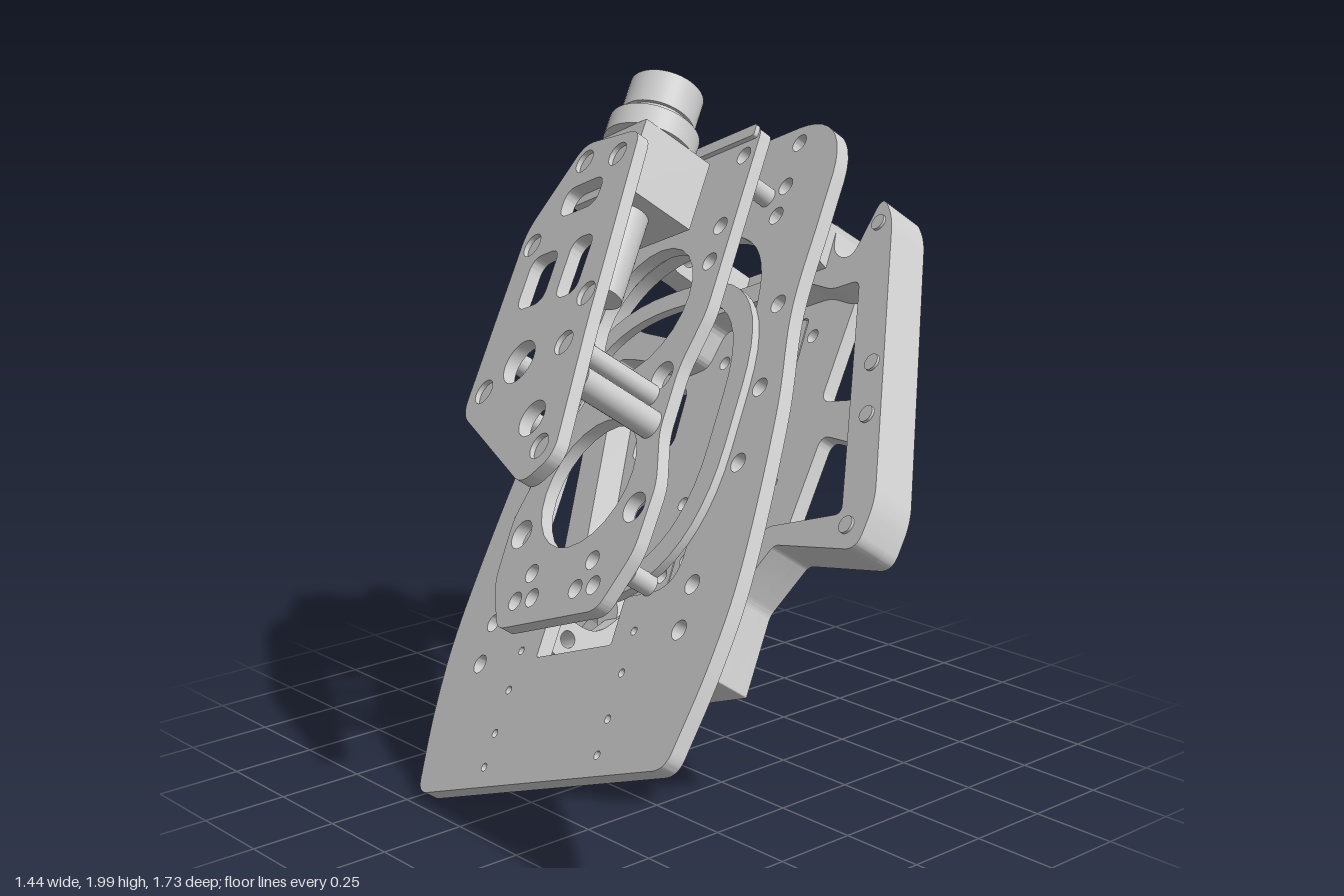
import * as THREE from 'three';
import { toCreasedNormals } from 'three/addons/utils/BufferGeometryUtils.js';

const material = new THREE.MeshStandardMaterial({ color: 0xcccccc });

function addMesh(parent, name, geometry) {
  const mesh = new THREE.Mesh(toCreasedNormals(geometry, 0.5), material);
  mesh.name = name;
  parent.add(mesh);
  return mesh;
}

// Polygon with rounded corners; a point may carry its own radius as third value
function roundPoly(points, radius = 0.03) {
  const shape = new THREE.Shape();
  const n = points.length;
  points.forEach((p, i) => {
    const c = new THREE.Vector2(p[0], p[1]);
    const a = new THREE.Vector2(...points[(i + n - 1) % n].slice(0, 2)).sub(c);
    const b = new THREE.Vector2(...points[(i + 1) % n].slice(0, 2)).sub(c);
    const r = Math.min(p[2] ?? radius, a.length() * 0.48, b.length() * 0.48);
    a.setLength(r).add(c);
    b.setLength(r).add(c);
    if (i === 0) shape.moveTo(a.x, a.y); else shape.lineTo(a.x, a.y);
    shape.quadraticCurveTo(c.x, c.y, b.x, b.y);
  });
  shape.closePath();
  return shape;
}

const rect = (x0, x1, y0, y1, r) => roundPoly([[x0, y0], [x1, y0], [x1, y1], [x0, y1]], r);

function drill(shape, centres, r) {
  for (const [x, y] of centres) shape.holes.push(new THREE.Path().absarc(x, y, r, 0, Math.PI * 2, true));
}

const mirrored = (list) => list.flatMap(([x, y]) => [[x, y], [-x, y]]);

// Flat plate between two heights
function slab(parent, name, shape, w0, w1) {
  const geo = new THREE.ExtrudeGeometry(shape, { depth: w1 - w0, bevelEnabled: false, curveSegments: 12 });
  return addMesh(parent, name, geo.translate(0, 0, w0));
}

// Round post standing on the plates
function post(parent, name, x, y, w0, w1, r) {
  const geo = new THREE.CylinderGeometry(r, r, w1 - w0, 24).rotateX(Math.PI / 2);
  return addMesh(parent, name, geo.translate(x, y, (w0 + w1) / 2));
}

function basePlate(g) {
  // Right half of the waisted outline, then its mirror image
  const half = new THREE.Shape();
  half.moveTo(0.51, 0);
  half.quadraticCurveTo(0.56, 0, 0.57, 0.05);
  half.splineThru([[0.62, 0.28], [0.64, 0.55], [0.605, 1.0], [0.545, 1.33], [0.55, 1.62], [0.555, 1.78]]
    .map(([x, y]) => new THREE.Vector2(x, y)));
  half.bezierCurveTo(0.555, 1.92, 0.47, 2.01, 0.33, 2.01);
  const side = half.getPoints(10);
  const shape = new THREE.Shape([...side, ...side.slice().reverse().map((p) => new THREE.Vector2(-p.x, p.y))]);
  // Large opening with a slot at its lower end
  shape.holes.push(roundPoly([[-0.38, 1.7], [-0.38, 0.52, 0.3], [-0.17, 0.52, 0.01], [-0.17, 0.38, 0.01],
    [0.17, 0.38, 0.01], [0.17, 0.52, 0.01], [0.38, 0.52, 0.3], [0.38, 1.7]], 0.36));
  drill(shape, mirrored([[0.118, 1.95], [0.355, 1.95], [0.345, 1.7], [0.35, 1.8], [0.475, 1.37],
    [0.5, 1.1], [0.5, 0.87], [0.453, 0.52], [0.453, 0.39]]), 0.028);
  drill(shape, mirrored([[0.257, 0.06], [0.257, 0.16], [0.257, 0.29], [0.257, 0.41]]), 0.012);
  slab(g, 'basePlate', shape, 0, 0.045);

  // Raised rim around the lower part of the opening
  const rim = rect(-0.455, 0.455, 0.5, 1.52, 0.42);
  rim.holes.push(rect(-0.38, 0.38, 0.56, 1.46, 0.38));
  slab(g, 'openingRim', rim, 0.045, 0.07);
}

function middlePlate(g) {
  const shape = roundPoly([[-0.23, 0.42], [0.23, 0.42], [0.32, 0.58], [0.33, 0.78], [0.27, 0.95], [0.27, 1.15],
    [0.32, 1.32], [0.32, 1.95], [-0.32, 1.95], [-0.32, 1.32], [-0.27, 1.15], [-0.27, 0.95], [-0.33, 0.78], [-0.32, 0.58]], 0.04);
  drill(shape, [[0, 0.84]], 0.2);
  drill(shape, [[0, 1.4]], 0.21);
  drill(shape, mirrored([[0.2, 1.14], [0.26, 0.72]]), 0.045);
  drill(shape, mirrored([[0.1, 0.5], [0.18, 0.5], [0.14, 0.58], [0.26, 1.5], [0.26, 1.62], [0.27, 1.86]]), 0.028);
  slab(g, 'middlePlate', shape, 0.12, 0.16);
  for (const [x, y] of mirrored([[0.27, 0.54], [0.28, 1.78]]))
    post(g, 'middleSpacer', x, y, 0.045, 0.12, 0.03);
  // Clamp strip along the upper edge
  slab(g, 'edgeStrip', rect(-0.31, 0.31, 1.91, 1.95, 0.01), 0.16, 0.175);
}

function topPlate(g) {
  const shape = roundPoly([[0.17, 0.65], [0.285, 0.72], [0.235, 1.14], [0.18, 1.79], [-0.1, 1.83],
    [-0.265, 1.57], [-0.265, 0.95]], 0.05);
  drill(shape, [[-0.052, 1.076]], 0.068);
  drill(shape, [[0.117, 0.861]], 0.055);
  shape.holes.push(rect(-0.11, 0.07, 1.57, 1.67, 0.045), rect(-0.17, -0.04, 1.27, 1.45, 0.045),
    rect(0.02, 0.12, 1.26, 1.46, 0.045));
  const screws = [[-0.19, 1.01], [-0.205, 1.506], [0.1, 1.73], [0.15, 1.09], [0.18, 1.24], [0.2, 0.76], [-0.07, 1.76]];
  drill(shape, screws, 0.038);
  slab(g, 'topPlate', shape, 0.42, 0.46);
  for (const [x, y] of screws) post(g, 'screw', x, y, 0.42, 0.445, 0.039);
  // Standoffs carrying the plate
  for (const [x, y, r] of [[0.22, 0.98, 0.042], [-0.215, 1.02, 0.032], [0.18, 1.08, 0.032], [-0.22, 1.16, 0.032]])
    post(g, 'standoff', x, y, 0.16, 0.42, r);
}

function barrel(g) {
  const profile = [[0, 1.36], [0.065, 1.36], [0.065, 1.67], [0.09, 1.67], [0.09, 1.87], [0.138, 1.87], [0.138, 1.94],
    [0.102, 1.95], [0.102, 1.97], [0.113, 1.97], [0.113, 2.08], [0.099, 2.08], [0.099, 1.91], [0, 1.91]]
    .map(([r, y]) => new THREE.Vector2(r, y));
  addMesh(g, 'barrel', new THREE.LatheGeometry(profile, 40)).position.z = 0.31;
  addMesh(g, 'barrelBlock', new THREE.BoxGeometry(0.25, 0.23, 0.25).translate(0, 1.755, 0.295));
  addMesh(g, 'blockFoot', new THREE.BoxGeometry(0.2, 0.18, 0.05).translate(0, 1.75, 0.175));
}

function lowerPlate(g) {
  const low = -0.345, web = -0.3, high = -0.21;
  // Outline with a choice of contour for the upper edge
  const outline = (upperEdge) => roundPoly([
    [-0.29, 0.386, 0.005], [0.29, 0.386, 0.005], [0.298, 0.63, 0.02], [0.408, 0.766, 0.02], [0.75, 0.7, 0.05],
    [0.775, 0.84, 0.05], [0.535, 1.8, 0.06], [0.47, 1.89, 0.05], [0.4, 1.69, 0.1], [0.31, 1.73, 0.05],
    [0.29, 1.845, 0.01], ...upperEdge, [-0.3, 1.845, 0.01], [-0.355, 1.6, 0.01], [-0.566, 1.68, 0.03], [-0.73, 1.78, 0.04],
    [-0.78, 1.7, 0.05], [-0.56, 0.6, 0.1], [-0.42, 0.585, 0.06], [-0.346, 0.67, 0.06], [-0.295, 0.58, 0.02]]);

  // Thin floor of the tray
  const floor = outline([]);
  const windows = [
    [[0.484, 1.535], [0.359, 1.65], [0.321, 1.28], [0.5, 1.25]],
    [[0.586, 1.08], [0.367, 1.162], [0.327, 0.865], [0.605, 0.825]],
    [[-0.354, 1.479], [-0.56, 1.51], [-0.547, 1.25], [-0.345, 1.265]],
    [[-0.355, 1.116], [-0.504, 1.1], [-0.434, 0.765], [-0.33, 0.76]]];
  for (const w of windows) floor.holes.push(roundPoly(w, 0.04));
  drill(floor, mirrored([[0.2, 1.53], [0.2, 1.04], [0.2, 0.8]]), 0.022);
  floor.holes.push(rect(-0.16, 0.16, 0.5, 1.605, 0.02));
  slab(g, 'trayFloor', floor, low, web);

  // Tall wall around the edge, set back between the upper lugs
  const wall = outline([[0.2, 1.845, 0.01], [0.2, 1.72, 0.01], [-0.2, 1.72, 0.01], [-0.2, 1.845, 0.01]]);
  wall.holes.push(roundPoly([[-0.22, 0.46], [0.22, 0.46], [0.23, 0.68], [0.35, 0.83], [0.655, 0.82], [0.465, 1.6],
    [0.35, 1.6], [0.24, 1.65], [-0.24, 1.65], [-0.28, 1.53], [-0.38, 1.52], [-0.57, 1.58],
    [-0.65, 1.6], [-0.47, 0.72], [-0.32, 0.76], [-0.23, 0.65]], 0.03));
  slab(g, 'trayWall', wall, web, high);

  // Inset panel, slightly below the surface around it
  const panel = rect(-0.156, 0.156, 0.504, 1.601, 0.02);
  drill(panel, mirrored([[0.12, 1.46], [0.12, 1.3], [0.09, 1.04], [0.11, 0.84], [0.1, 0.64]]), 0.022);
  slab(g, 'insetPanel', panel, low + 0.008, web);

  // Fasteners along the wing rails
  for (const [x, y] of [[-0.7, 1.68], [0.485, 1.79], [0.69, 0.78], [0.655, 1.12], [0.62, 1.29]])
    post(g, 'railScrew', x, y, high, high + 0.008, 0.025);
}

// Lugs joining the lower plate to the base plate, drilled across
function lugs(g) {
  const across = new THREE.Matrix4().makeBasis(
    new THREE.Vector3(0, 1, 0), new THREE.Vector3(0, 0, 1), new THREE.Vector3(1, 0, 0));
  const profiles = [
    { name: 'lowerLug', points: [[0.39, -0.31, 0.01], [0.66, -0.31, 0.01], [0.64, -0.22, 0.01], [0.54, -0.15, 0.08],
      [0.55, -0.005], [0.43, -0.005], [0.43, -0.13, 0.06], [0.39, -0.22, 0.01]], hole: [0.49, -0.064], width: 0.07 },
    { name: 'upperLug', points: [[1.66, -0.31, 0.01], [1.84, -0.31, 0.01], [1.83, -0.13, 0.06], [1.83, -0.005],
      [1.71, -0.005], [1.71, -0.13, 0.06]], hole: [1.77, -0.064], width: 0.09 }];
  for (const { name, points, hole, width } of profiles) {
    const shape = roundPoly(points, 0.05);
    drill(shape, [hole], 0.025);
    for (const side of [-1, 1]) {
      const geo = new THREE.ExtrudeGeometry(shape, { depth: width, bevelEnabled: false, curveSegments: 10 });
      geo.translate(0, 0, side * 0.25 - width / 2).applyMatrix4(across);
      addMesh(g, name, geo);
    }
  }
}

export function createModel() {
  const model = new THREE.Group();
  model.name = 'plateAssembly';
  // Tilted frame: x across the plates, y along them, z through them
  const frame = new THREE.Group();
  frame.name = 'tiltedFrame';
  const across = new THREE.Vector3(0, 0.35, 0.937).normalize();
  const along = new THREE.Vector3(0.605, 0.744, -0.287);
  along.addScaledVector(across, -along.dot(across)).normalize();
  const through = new THREE.Vector3().crossVectors(across, along);
  frame.quaternion.setFromRotationMatrix(new THREE.Matrix4().makeBasis(across, along, through));
  frame.position.set(-0.685, 0.195, 0.295);
  for (const build of [basePlate, middlePlate, topPlate, barrel, lowerPlate, lugs]) build(frame);
  model.add(frame);
  return model;
}
